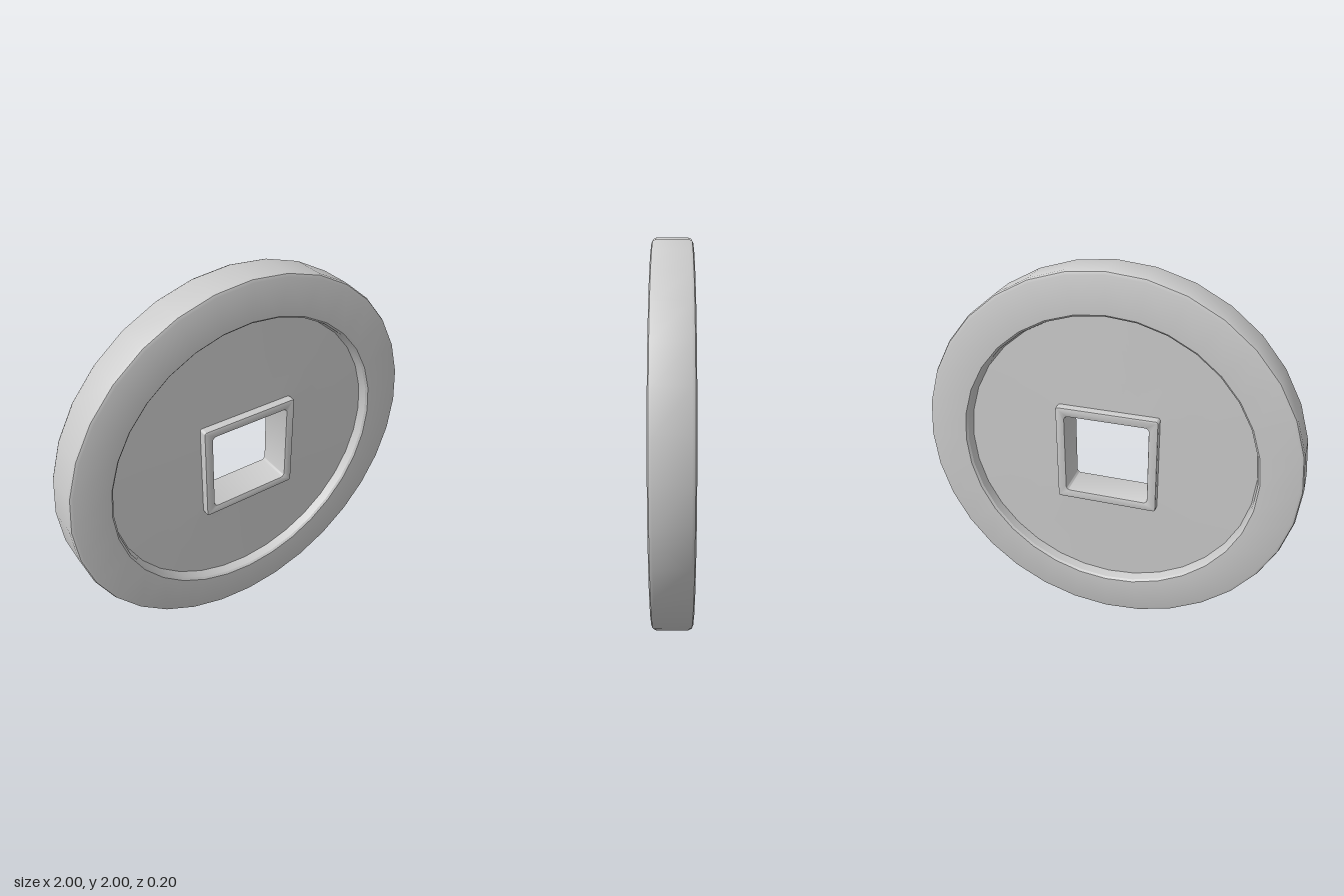
import * as THREE from 'three';
import { toCreasedNormals } from 'three/addons/utils/BufferGeometryUtils.js';

const SIDES = 32;
const material = new THREE.MeshStandardMaterial({ color: 0xcccccc });

function addMesh(group, name, geometry) {
  const mesh = new THREE.Mesh(geometry, material);
  mesh.name = name;
  group.add(mesh);
  return mesh;
}

// Square outline with rounded corners, centred on the origin
function roundedSquare(Type, half, r) {
  const path = new Type();
  const c = half - r;
  [[c, c], [-c, c], [-c, -c], [c, -c]].forEach(([x, y], i) =>
    path.absarc(x, y, r, i * Math.PI / 2, (i + 1) * Math.PI / 2, false));
  path.closePath();
  return path;
}

// Face that runs from a square inner edge out to a round outer edge
function fieldGeometry(innerHalf, innerZ, outerRadius, outerZ, rows) {
  const positions = [], index = [];
  for (let i = 0; i <= rows; i++) {
    const t = i / rows;
    for (let j = 0; j < SIDES; j++) {
      const a = j / SIDES * Math.PI * 2;
      const c = Math.cos(a), s = Math.sin(a);
      const square = innerHalf / Math.max(Math.abs(c), Math.abs(s));
      const r = THREE.MathUtils.lerp(square, outerRadius, t);
      positions.push(c * r, s * r, THREE.MathUtils.lerp(innerZ, outerZ, t));
      if (i < rows) {
        const k = (j + 1) % SIDES, p = i * SIDES, q = p + SIDES;
        index.push(p + j, q + j, q + k, p + j, q + k, p + k);
      }
    }
  }
  const geometry = new THREE.BufferGeometry();
  geometry.setAttribute('position', new THREE.Float32BufferAttribute(positions, 3));
  geometry.setIndex(index);
  geometry.computeVertexNormals();
  return geometry;
}

export function createModel() {
  const group = new THREE.Group();
  group.name = 'squareHoledCoin';

  // Raised outer ring with chamfered edges, closed profile of radius and depth
  const profile = [
    [0.98, -0.1], [0.994, -0.094], [1, -0.08], [1, 0.08], [0.994, 0.094], [0.98, 0.1],
    [0.79, 0.1], [0.78, 0.09], [0.77, 0.04], [0.77, -0.04], [0.78, -0.09], [0.79, -0.1],
    [0.98, -0.1],
  ].map(([r, z]) => new THREE.Vector2(r, z));
  const ring = new THREE.LatheGeometry(profile, SIDES).rotateX(Math.PI / 2);
  addMesh(group, 'outerRing', toCreasedNormals(ring, 0.5));

  // Recessed field on both faces
  const field = fieldGeometry(0.26, 0.053, 0.78, 0.045, 3);
  addMesh(group, 'frontField', field);
  addMesh(group, 'backField', field).rotation.y = Math.PI;

  // Raised square rim around the through hole
  const bevel = 0.008, thickness = 0.19;
  const shape = roundedSquare(THREE.Shape, 0.27, 0.014);
  shape.holes.push(roundedSquare(THREE.Path, 0.222, 0.02));
  const rim = new THREE.ExtrudeGeometry(shape, {
    depth: thickness - 2 * bevel, bevelEnabled: true, bevelThickness: bevel,
    bevelSize: bevel, bevelOffset: -bevel, bevelSegments: 2, curveSegments: 4,
  }).translate(0, 0, bevel - thickness / 2);
  addMesh(group, 'squareRim', toCreasedNormals(rim, 0.6));

  group.position.y = 1;
  const root = new THREE.Group();
  root.add(group);
  return root;
}
